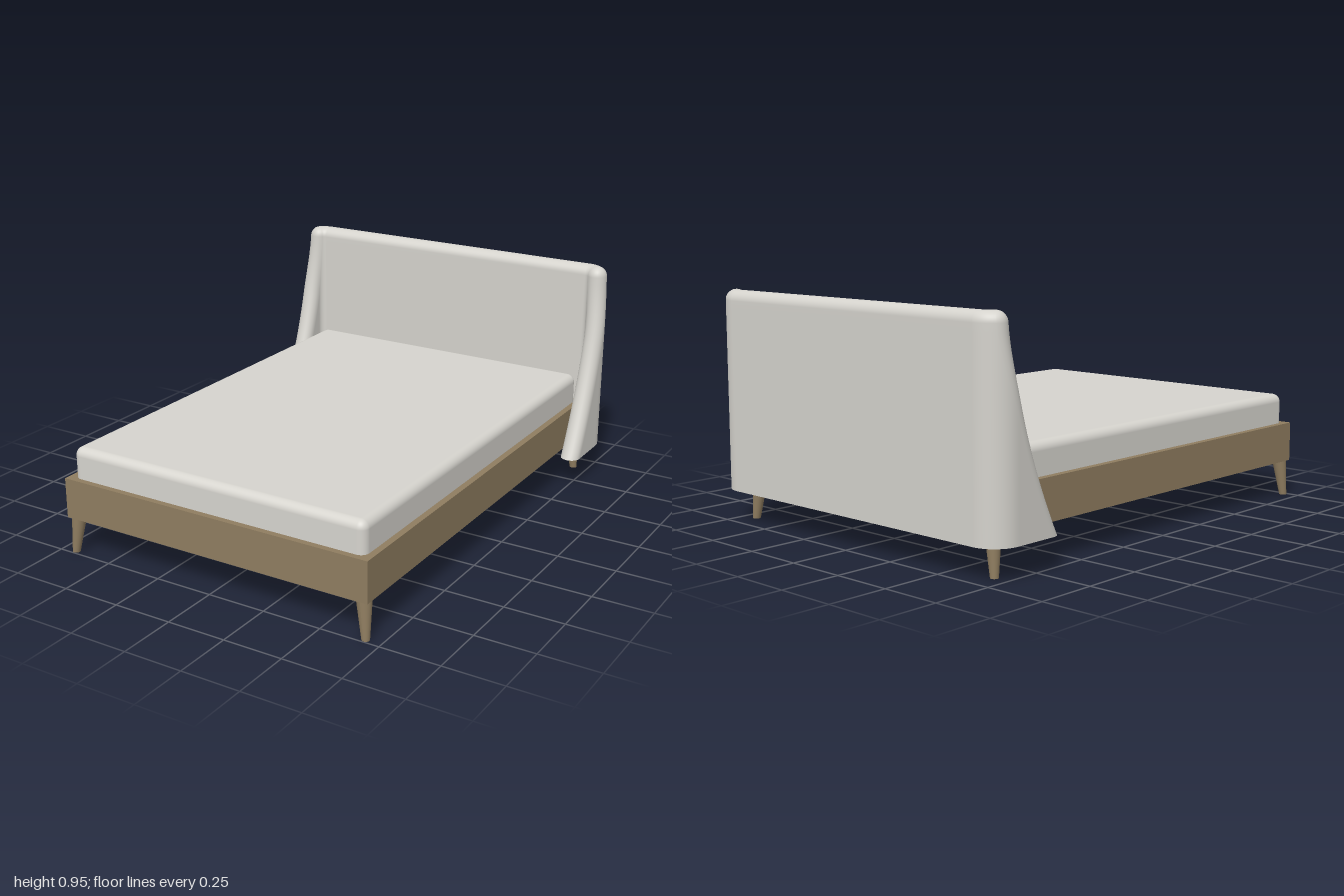
import * as THREE from 'three';
import { RoundedBoxGeometry } from 'three/addons/geometries/RoundedBoxGeometry.js';

const wood = new THREE.MeshStandardMaterial({ name: 'wood', color: 0x8f7d60 });
const fabric = new THREE.MeshStandardMaterial({ name: 'upholstery', color: 0xd4d2cc });
const linen = new THREE.MeshStandardMaterial({ name: 'mattress fabric', color: 0xd6d4ce });

function addMesh(parent, name, geometry, material, x = 0, y = 0, z = 0) {
  const mesh = new THREE.Mesh(geometry, material);
  mesh.name = name;
  mesh.position.set(x, y, z);
  parent.add(mesh);
  return mesh;
}

// Headboard plan: a U-shaped centre line with rounded corners and half thickness H
const H = 0.0425, R = 0.07, CORNER_X = 0.6775, CORNER_Z = -0.8875;
const BOTTOM = 0.13, TOP = 0.955, STATIONS = 30, CAP = 6;

// Front edge of the wings, sweeping back as it rises
function wingTip(y) {
  const u = Math.min(1, (y - BOTTOM) / 0.8);
  return -0.657 - 0.235 * (1 - Math.pow(1 - u, 1.7));
}

// Closed outline of the headboard at height y, with half thickness h
function headboardSection(y, h) {
  const zEnd = wingTip(y) - H;
  const length = zEnd > CORNER_Z
    ? R * Math.PI / 2 + zEnd - CORNER_Z
    : R * Math.acos(Math.min(1, (CORNER_Z - zEnd) / R));

  const offsetPoint = (s, along, across) => {
    const a = Math.min(s / R, Math.PI / 2);
    const straight = Math.max(0, s - R * Math.PI / 2);
    return [
      CORNER_X + R * Math.sin(a) + along * Math.cos(a) + across * Math.sin(a),
      CORNER_Z - R * Math.cos(a) + straight + along * Math.sin(a) - across * Math.cos(a),
    ];
  };

  const side = (sign) => {
    const half = [];
    for (let i = 0; i < CAP; i++) {
      const a = (i + 0.5) / (CAP + 0.5) * Math.PI / 2;
      half.push(offsetPoint(length, h * Math.cos(a), sign * h * Math.sin(a)));
    }
    for (let i = STATIONS; i >= 0; i--) half.push(offsetPoint(length * i / STATIONS, 0, sign * h));
    return [...half, ...half.map(([x, z]) => [-x, z]).reverse()];
  };
  return [...side(1), ...side(-1).reverse()];
}

function headboardGeometry() {
  // Straight rise followed by a rounded top edge
  const rows = [];
  for (let i = 0; i < 24; i++) rows.push([BOTTOM + (TOP - H - BOTTOM) * i / 24, H]);
  for (let i = 0; i <= 10; i++) {
    const a = i / 10 * Math.PI / 2;
    rows.push([TOP - H + H * Math.sin(a), Math.max(0.0005, H * Math.cos(a))]);
  }
  const positions = [], index = [];
  const addRing = (y, h) => {
    const ring = headboardSection(y, h);
    ring.forEach(([x, z]) => positions.push(x, y, z));
    return ring.length;
  };
  let n = 0;
  rows.forEach(([y, h]) => { n = addRing(y, h); });
  for (let k = 0; k < rows.length - 1; k++) {
    for (let j = 0; j < n; j++) {
      const a = k * n + j, b = k * n + (j + 1) % n;
      index.push(a, b, b + n, a, b + n, a + n);
    }
  }
  // Flat underside, and the narrow seam closing the top
  const bottom = rows.length * n, top = (rows.length - 1) * n;
  addRing(BOTTOM, H);
  for (let j = 0; j < n / 2 - 1; j++) {
    const o = n - 1 - j;
    index.push(bottom + j, bottom + o, bottom + j + 1, bottom + j + 1, bottom + o, bottom + o - 1);
    index.push(top + j, top + j + 1, top + o, top + j + 1, top + o - 1, top + o);
  }
  const geometry = new THREE.BufferGeometry();
  geometry.setAttribute('position', new THREE.Float32BufferAttribute(positions, 3));
  geometry.setIndex(index);
  geometry.computeVertexNormals();
  return geometry;
}

// Tapered leg whose foot leans by (dx, dz)
function legGeometry(dx, dz) {
  const height = 0.16;
  const geometry = new THREE.CylinderGeometry(0.031, 0.016, height, 24);
  const p = geometry.attributes.position;
  for (let i = 0; i < p.count; i++) {
    const t = 0.5 - p.getY(i) / height;
    p.setX(i, p.getX(i) + dx * t);
    p.setZ(i, p.getZ(i) + dz * t);
  }
  geometry.translate(0, height / 2, 0);
  geometry.computeVertexNormals();
  return geometry;
}

export function createModel() {
  const bed = new THREE.Group();
  bed.name = 'bed';

  addMesh(bed, 'bedFrame', new THREE.BoxGeometry(1.402, 0.17, 1.93), wood, 0, 0.24, 0.035);
  addMesh(bed, 'mattress', new RoundedBoxGeometry(1.348, 0.2, 1.875, 5, 0.035), linen, 0, 0.355, 0.0375);
  addMesh(bed, 'headboard', headboardGeometry(), fabric);

  // Four splayed corner legs and one upright centre leg
  const legs = new THREE.Group();
  legs.name = 'legs';
  bed.add(legs);
  for (const sx of [1, -1]) {
    const side = sx > 0 ? 'Left' : 'Right';
    addMesh(legs, 'front' + side + 'Leg', legGeometry(sx * 0.016, 0.015), wood, sx * 0.668, 0, 0.966);
    addMesh(legs, 'back' + side + 'Leg', legGeometry(sx * 0.016, -0.01), wood, sx * 0.668, 0, -0.888);
  }
  addMesh(legs, 'centreLeg', legGeometry(0, 0), wood, 0, 0, -0.05);

  return bed;
}
